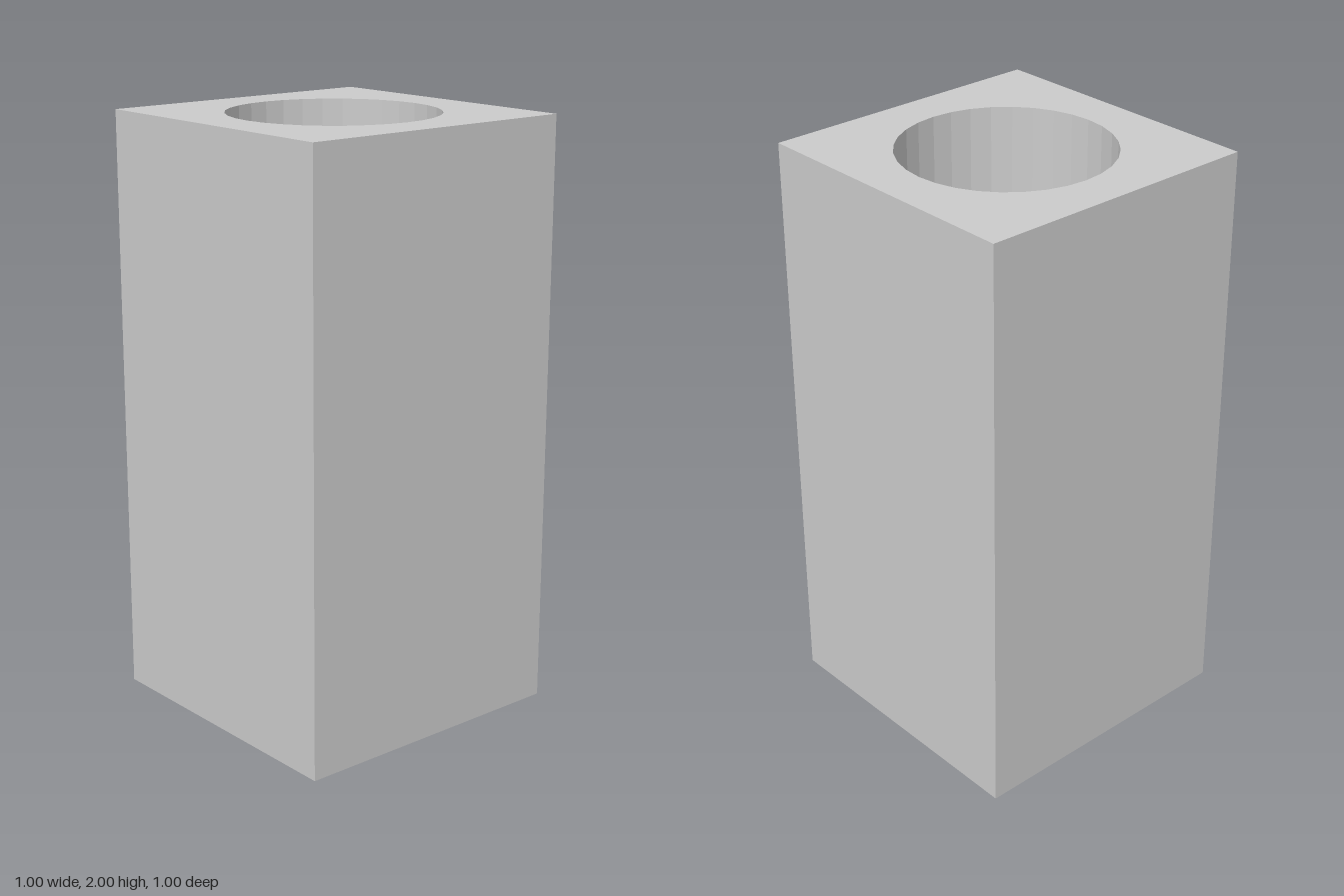
import * as THREE from 'three';

const WIDTH = 1, HEIGHT = 2, HOLE_RADIUS = 0.35, HOLE_SIDES = 32;

export function createModel() {
  const group = new THREE.Group();
  group.name = 'boredBlock';

  // Square cross-section
  const h = WIDTH / 2;
  const section = new THREE.Shape([
    new THREE.Vector2(-h, -h),
    new THREE.Vector2(h, -h),
    new THREE.Vector2(h, h),
    new THREE.Vector2(-h, h),
  ]);

  // Faceted round bore running the full height
  const rim = [];
  for (let i = 0; i < HOLE_SIDES; i++) {
    const a = (-i / HOLE_SIDES) * Math.PI * 2;
    rim.push(new THREE.Vector2(Math.cos(a) * HOLE_RADIUS, Math.sin(a) * HOLE_RADIUS));
  }
  section.holes.push(new THREE.Path(rim));

  // Extrude along z, then stand upright on y = 0
  const geometry = new THREE.ExtrudeGeometry(section, { depth: HEIGHT, bevelEnabled: false });
  geometry.rotateX(-Math.PI / 2);

  const block = new THREE.Mesh(
    geometry,
    new THREE.MeshStandardMaterial({ color: 0xcccccc, flatShading: true })
  );
  block.name = 'blockWithBore';
  group.add(block);
  return group;
}
